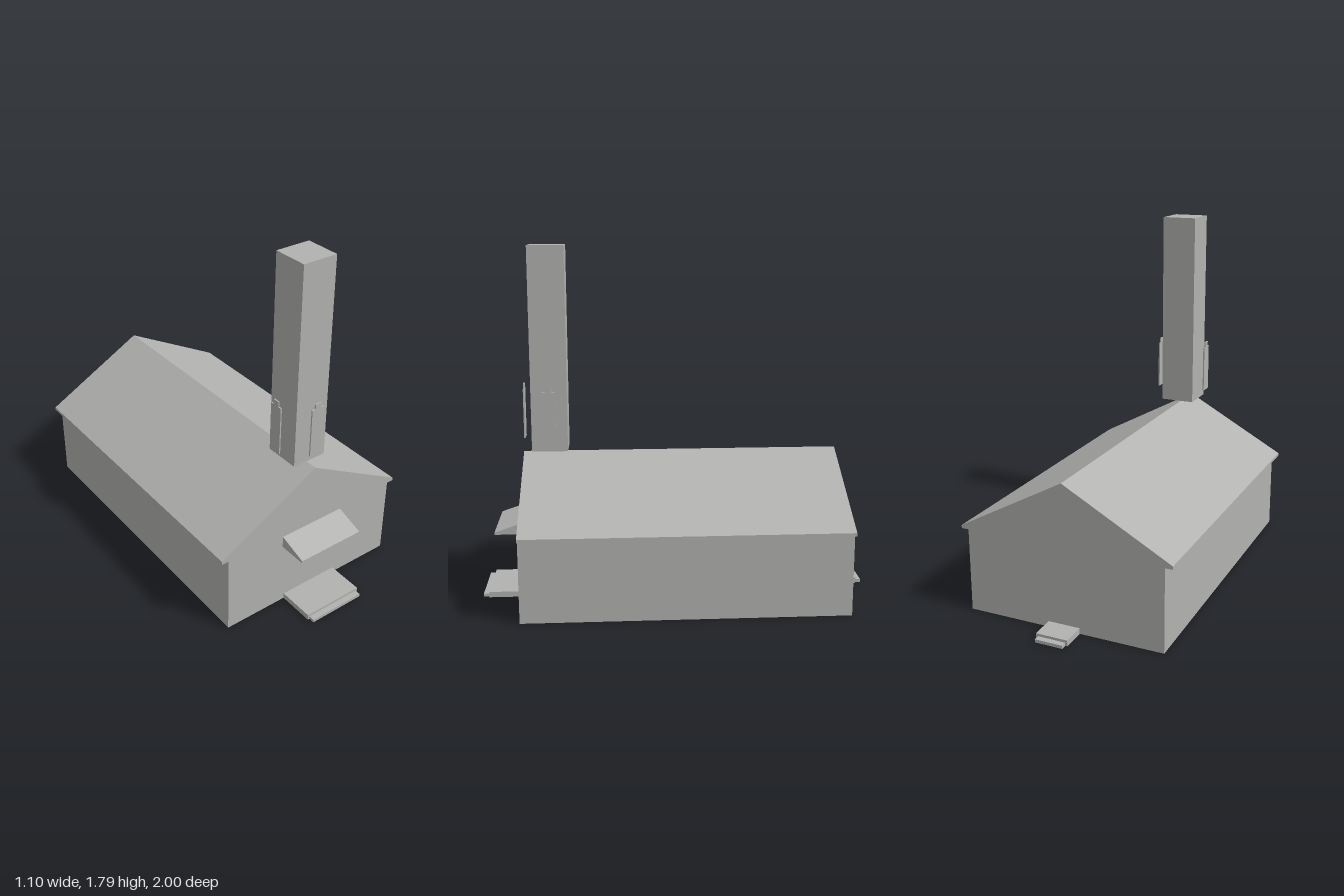
import * as THREE from 'three';

const stone = new THREE.MeshStandardMaterial({ color: 0xb2b2b0, side: THREE.DoubleSide });
stone.name = 'grey stone';

const FRONT = 0.783, BACK = -0.848;

function add(parent, name, geometry, x = 0, y = 0, z = 0) {
  const mesh = new THREE.Mesh(geometry, stone);
  mesh.name = name;
  mesh.position.set(x, y, z);
  parent.add(mesh);
  return mesh;
}

// Open sheet: a profile running counterclockwise, swept from z0 to z1
function sweep(points, z0, z1) {
  const pos = [];
  for (let i = 0; i < points.length - 1; i++) {
    const [ax, ay] = points[i], [bx, by] = points[i + 1];
    pos.push(ax, ay, z0, bx, by, z0, bx, by, z1);
    pos.push(ax, ay, z0, bx, by, z1, ax, ay, z1);
  }
  const g = new THREE.BufferGeometry();
  g.setAttribute('position', new THREE.Float32BufferAttribute(pos, 3));
  g.computeVertexNormals();
  return g;
}

// Flat end wall, optionally cut at the bottom or pierced where a part joins on
function endWall(points, notch, opening) {
  const outline = points.map(([x, y]) => new THREE.Vector2(x, y));
  if (notch) {
    const [w, h] = notch;
    outline.push(new THREE.Vector2(-w, 0), new THREE.Vector2(-w, h),
      new THREE.Vector2(w, h), new THREE.Vector2(w, 0));
  }
  const shape = new THREE.Shape(outline);
  if (opening) {
    const [w, y0, y1] = opening;
    shape.holes.push(new THREE.Path([[-w, y0], [-w, y1], [w, y1], [w, y0]]
      .map(([x, y]) => new THREE.Vector2(x, y))));
  }
  return new THREE.ShapeGeometry(shape);
}

const tread = (w, h) => [[w, 0], [w, h], [-w, h], [-w, 0]];

// Two stacked steps reaching out from a wall at local z = 0, open underneath
function steps(name, upper, lower, upperEnd, lowerEnd) {
  const group = new THREE.Group();
  group.name = name;
  add(group, 'upperStep', sweep(tread(...upper), 0, upperEnd));
  add(group, 'upperStepRiser', endWall(tread(...upper), lower), 0, 0, upperEnd);
  add(group, 'lowerStep', sweep(tread(...lower), upperEnd, lowerEnd));
  add(group, 'lowerStepRiser', endWall(tread(...lower)), 0, 0, lowerEnd);
  return group;
}

// Thin upright plate with a small block on top
function towerPlate(name) {
  const group = new THREE.Group();
  group.name = name;
  add(group, 'plateBody', new THREE.BoxGeometry(0.07, 0.253, 0.007), 0, 0.1265, 0);
  add(group, 'plateCap', new THREE.BoxGeometry(0.034, 0.027, 0.007), 0, 0.2665, 0);
  return group;
}

export function createModel() {
  const model = new THREE.Group();
  model.name = 'hall';

  // Hall: hollow shell of side walls, eaves and gabled roof
  const profile = [[0.51, 0], [0.51, 0.422], [0.548, 0.422], [0.548, 0.438], [0, 0.738],
    [-0.548, 0.438], [-0.548, 0.422], [-0.51, 0.422], [-0.51, 0]];
  add(model, 'sideWalls', sweep(profile.slice(0, 2), BACK, FRONT));
  add(model, 'sideWalls', sweep(profile.slice(-2), BACK, FRONT));
  add(model, 'roof', sweep(profile.slice(1, -1), BACK, FRONT));

  // Gable walls, open where steps and canopy join
  const frontUpper = [0.163, 0.029], backUpper = [0.082, 0.029];
  add(model, 'frontWall', endWall(profile, frontUpper, [0.184, 0.345, 0.406]), 0, 0, FRONT);
  add(model, 'backWall', endWall(profile, backUpper), 0, 0, BACK).rotation.y = Math.PI;

  // Steps
  const frontSteps = steps('frontSteps', frontUpper, [0.153, 0.016], 0.187, 0.217);
  frontSteps.position.z = FRONT;
  const backSteps = steps('backSteps', backUpper, [0.071, 0.016], 0.122, 0.152);
  backSteps.position.z = BACK;
  backSteps.rotation.y = Math.PI;
  model.add(frontSteps, backSteps);

  // Sloping canopy over the entrance, open towards the hall
  const canopy = new THREE.Group();
  canopy.name = 'canopy';
  const side = [[0, 0.345], [0.146, 0.345], [0.146, 0.357], [0, 0.406]];
  const top = add(canopy, 'canopySheet', sweep(side, -0.184, 0.184));
  top.rotation.y = -Math.PI / 2;
  for (const s of [-1, 1]) {
    const end = add(canopy, 'canopyEnd', endWall(side), s * 0.184, 0, 0);
    end.rotation.y = -Math.PI / 2;
  }
  canopy.position.z = FRONT;
  model.add(canopy);

  // Tower above the ridge
  const tz = 0.643;
  add(model, 'tower', new THREE.BoxGeometry(0.185, 1.039, 0.183), 0, 1.2745, tz);

  // Plates standing off three sides of the tower
  [['rightPlate', -1], ['frontPlate', 0], ['leftPlate', 1]].forEach(([name, s]) => {
    const plate = towerPlate(name);
    plate.rotation.y = s * Math.PI / 2;
    plate.position.set(s * 0.137, 0.815, s ? tz : 0.774);
    model.add(plate);
  });

  return model;
}
